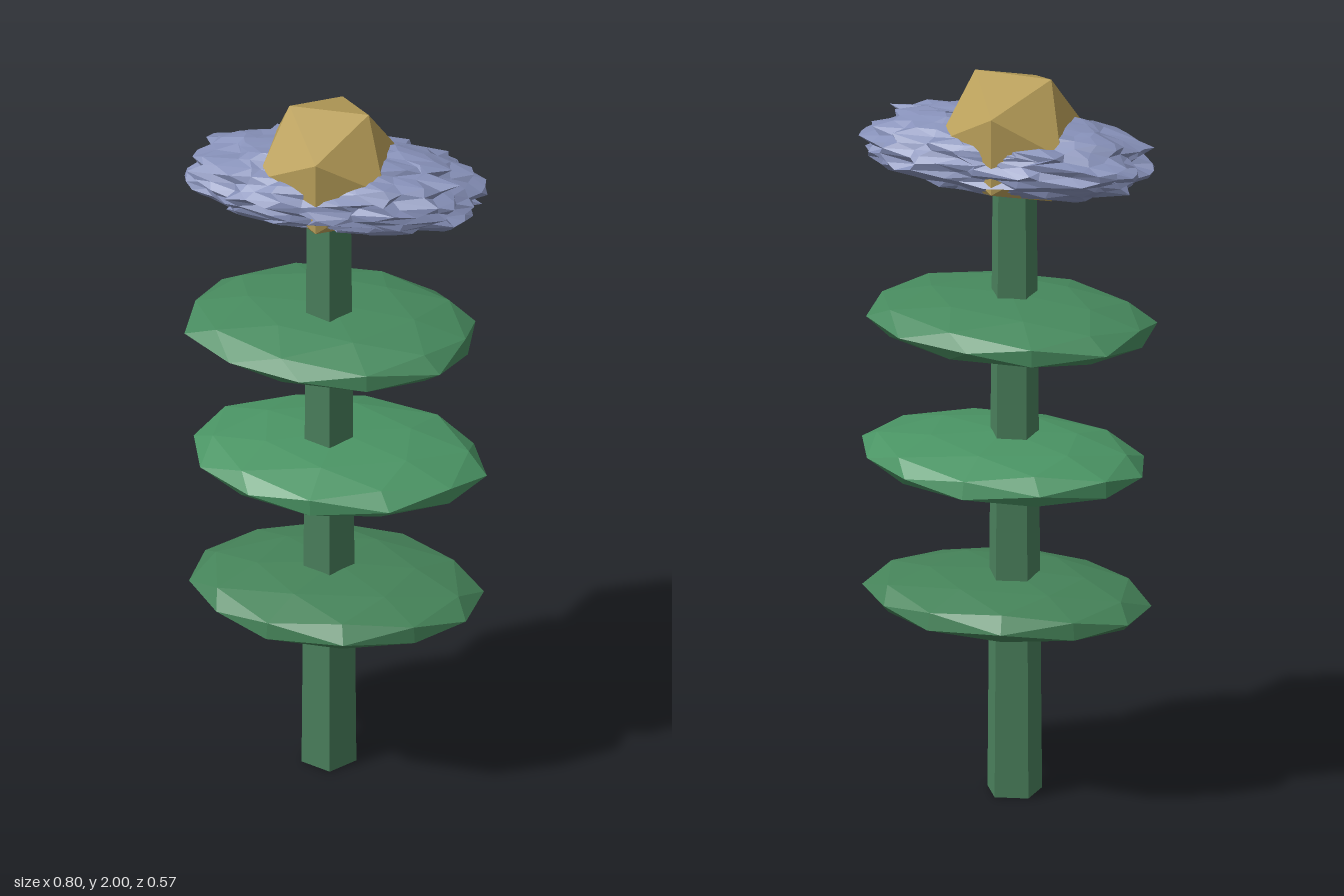
import * as THREE from 'three';

const paint = (color) => new THREE.MeshStandardMaterial({ color, flatShading: true });

// Repeatable value in -1..1 for a position, so coincident corners move together
function noise(p, seed) {
  const q = (v) => Math.round(v * 500);
  const s = Math.sin(q(p.x) * 12.9898 + q(p.y) * 78.233 + q(p.z) * 37.719 + seed * 4.1) * 43758.5453;
  return 2 * (s - Math.floor(s)) - 1;
}

// Moves every vertex of a geometry by a rule
function reshape(geometry, rule) {
  const pos = geometry.attributes.position;
  const p = new THREE.Vector3();
  for (let i = 0; i < pos.count; i++) {
    rule(p.fromBufferAttribute(pos, i));
    pos.setXYZ(i, p.x, p.y, p.z);
  }
  geometry.computeVertexNormals();
  return geometry;
}

function addMesh(group, name, geometry, color, x, y, z) {
  const mesh = new THREE.Mesh(geometry, paint(color));
  mesh.name = name;
  mesh.position.set(x, y, z);
  group.add(mesh);
  return mesh;
}

// Flattened, slightly uneven faceted disc
function leafGeometry(turn, seed) {
  const geometry = new THREE.IcosahedronGeometry(1, 1);
  geometry.rotateY(turn);
  return reshape(geometry, (p) => {
    const r = 1 + 0.03 * noise(p, seed);
    p.set(p.x * 0.39 * r, p.y * 0.075, p.z * 0.275 * r);
  });
}

// Blunt ellipsoid whose facets are dragged lengthwise into jagged petal tips
function petalGeometry() {
  return reshape(new THREE.IcosahedronGeometry(1, 6), (p) => {
    const slide = noise(p, 1);
    const swell = 1 + 0.07 * noise(p, 2);
    const radial = Math.hypot(p.y, p.z);
    const k = Math.pow(Math.pow(Math.abs(p.x), 2.6) + Math.pow(radial, 2.6), -1 / 2.6);
    p.multiplyScalar(k);
    p.set(
      p.x * 0.365 + slide * 0.04,
      p.y * 0.1 * swell,
      p.z * 0.177 * swell
    );
  });
}

export function createModel() {
  const plant = new THREE.Group();
  plant.name = 'flower';

  // Five-sided tapering stem
  const stem = new THREE.CylinderGeometry(0.06, 0.075, 1.75, 5);
  stem.rotateY(THREE.MathUtils.degToRad(14));
  addMesh(plant, 'stem', stem, 0x4a805c, -0.013, 0.875, 0.005);

  // Three tiers of leaves
  const tiers = [
    { x: 0.007, y: 0.537, z: 0.015, turn: 0.2, color: 0x458359 },
    { x: 0.01, y: 0.93, z: -0.005, turn: 0.5, color: 0x4a9464 },
    { x: -0.01, y: 1.32, z: -0.012, turn: 0.95, color: 0x478a5e },
  ];
  tiers.forEach((t, i) => {
    addMesh(plant, `leaf${i + 1}`, leafGeometry(t.turn, i + 3), t.color, t.x, t.y, t.z);
  });

  // Jagged bloom with a faceted heart
  addMesh(plant, 'petals', petalGeometry(), 0x8690b8, 0, 1.785, 0);
  addMesh(plant, 'flowerHeart', new THREE.IcosahedronGeometry(0.2, 0), 0xbaa05a, -0.013, 1.83, 0);

  return plant;
}
